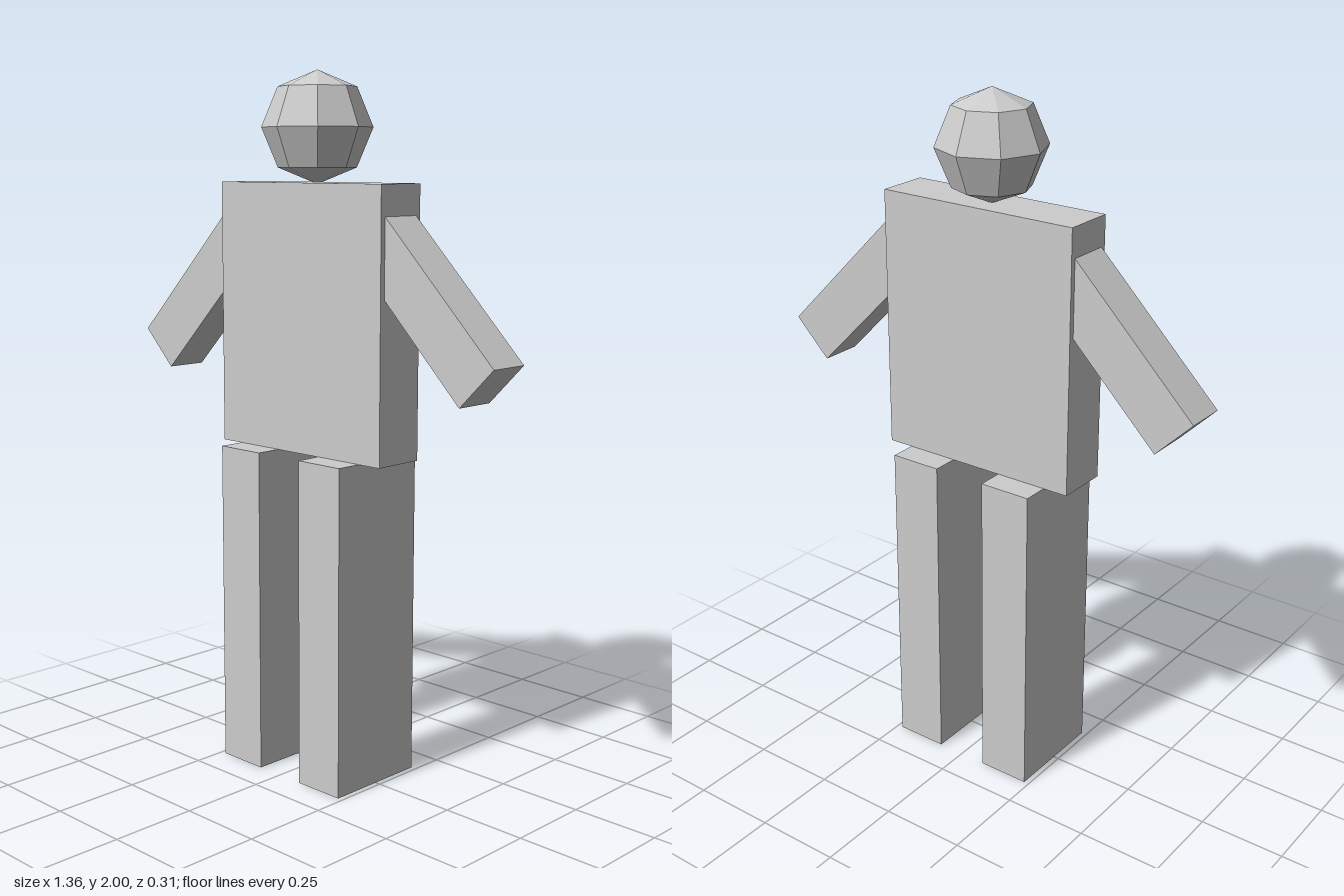
import * as THREE from 'three';

export function createModel() {
  const model = new THREE.Group();
  const material = new THREE.MeshStandardMaterial({ color: 0xcccccc, flatShading: true });

  function add(name, geometry, x, y, z = 0) {
    const mesh = new THREE.Mesh(geometry, material);
    mesh.name = name;
    mesh.position.set(x, y, z);
    model.add(mesh);
    return mesh;
  }

  // Faceted head resting on the torso
  add('head', new THREE.SphereGeometry(0.155, 8, 4), 0, 1.845);

  // Flat torso slab
  add('torso', new THREE.BoxGeometry(0.62, 0.755, 0.155), 0, 1.317);

  // Mirrored limbs: straight deep legs, arms splayed at 45 degrees
  for (const [side, s] of [['left', 1], ['right', -1]]) {
    add(side + 'Leg', new THREE.BoxGeometry(0.155, 0.94, 0.31), s * 0.157, 0.47);
    const arm = add(side + 'Arm', new THREE.BoxGeometry(0.155, 0.62, 0.124), s * 0.405, 1.405);
    arm.rotation.z = s * Math.PI / 4;
  }

  return model;
}
